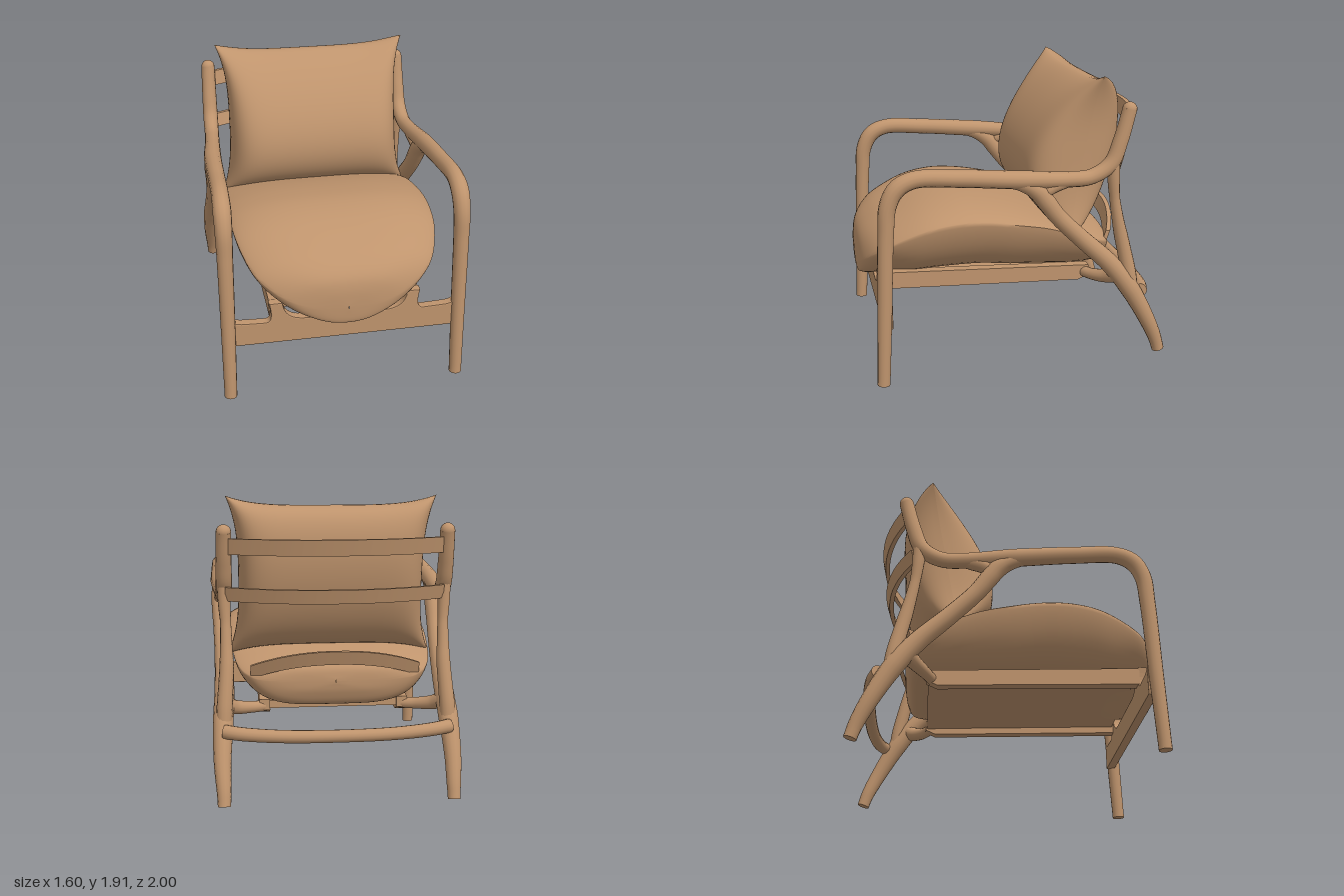
import * as THREE from 'three';
import { mergeVertices, toCreasedNormals } from 'three/addons/utils/BufferGeometryUtils.js';
import { ParametricGeometry } from 'three/addons/geometries/ParametricGeometry.js';

const tan = new THREE.MeshStandardMaterial({ color: 0xbf946d });
tan.name = 'tan';

function part(name, geometry, parent) {
  const mesh = new THREE.Mesh(geometry, tan);
  mesh.name = name;
  parent.add(mesh);
  return mesh;
}

// Weld a generated surface, then smooth it while keeping sharp seams
function smooth(geometry, crease = 0.8) {
  geometry.deleteAttribute('uv');
  geometry.deleteAttribute('normal');
  return toCreasedNormals(mergeVertices(geometry, 1e-5), crease);
}

// Round limb through [x, y, z, radius] points, with flat ends
function limb(points, side = 1, rings = 60) {
  const path = new THREE.CatmullRomCurve3(points.map(p => new THREE.Vector3(p[0] * side, p[1], p[2])), false, 'centripetal');
  const geo = new THREE.TubeGeometry(path, rings, 1, 14);
  const pos = geo.attributes.position;
  const p = new THREE.Vector3();
  for (let i = 0; i <= rings; i++) {
    const t = path.getUtoTmapping(i / rings) * (points.length - 1);
    const k = Math.min(Math.floor(t), points.length - 2);
    let radius = THREE.MathUtils.lerp(points[k][3], points[k + 1][3], t - k);
    const centre = path.getPointAt(i / rings);
    let target = centre;
    if (i === 0 || i === rings) radius = 0;
    if (i === 1) target = path.getPointAt(0);
    if (i === rings - 1) target = path.getPointAt(1);
    for (let j = 0; j <= 14; j++) {
      const n = i * 15 + j;
      p.fromBufferAttribute(pos, n).sub(centre).multiplyScalar(radius).add(target);
      pos.setXYZ(n, p.x, p.y, p.z);
    }
  }
  return smooth(geo);
}

// Board bowed backwards from its ends to its middle
function bowedBoard(half, height, thick, yEnd, yMid, zEnd, zMid, tilt) {
  const geo = new THREE.BoxGeometry(half * 2, height, thick, 28, 2, 1);
  const pos = geo.attributes.position;
  for (let i = 0; i < pos.count; i++) {
    const x = pos.getX(i), y = pos.getY(i);
    const bow = 1 - Math.pow(Math.abs(x / half), 2.2);
    pos.setY(i, y + yEnd + (yMid - yEnd) * bow);
    pos.setZ(i, pos.getZ(i) + zEnd + (zMid - zEnd) * bow - y * tilt);
  }
  return smooth(geo, 0.6);
}

// Seat cushion: sections along z as [z, half width, top, seam, bottom]
function seatCushion() {
  const sections = [
    [-0.68, 0.001, 0.75, 0.74, 0.73], [-0.665, 0.42, 0.82, 0.75, 0.66],
    [-0.62, 0.56, 0.86, 0.78, 0.58], [-0.52, 0.62, 0.895, 0.82, 0.56],
    [-0.4, 0.645, 0.93, 0.86, 0.56], [-0.2, 0.665, 0.99, 0.93, 0.57],
    [0, 0.675, 1.05, 0.97, 0.58], [0.2, 0.675, 1.09, 1.0, 0.6],
    [0.4, 0.67, 1.105, 1.0, 0.6], [0.6, 0.65, 1.07, 0.96, 0.59],
    [0.8, 0.59, 0.985, 0.87, 0.56], [0.9, 0.51, 0.92, 0.8, 0.535],
    [0.965, 0.38, 0.85, 0.72, 0.53], [0.992, 0.22, 0.77, 0.66, 0.54],
    [1.0, 0.001, 0.66, 0.65, 0.64]];
  const outline = new THREE.CatmullRomCurve3(sections.map(s => new THREE.Vector3(s[1], s[3], s[0])), false, 'catmullrom');
  const depth = new THREE.CatmullRomCurve3(sections.map(s => new THREE.Vector3(s[2], s[4], 0)), false, 'catmullrom');
  return smooth(new ParametricGeometry((u, v, out) => {
    const o = outline.getPoint(v), d = depth.getPoint(v);
    const c = Math.cos(u * Math.PI * 2), up = Math.sin(u * Math.PI * 2) > 0;
    // the underside is boxy over the frame and rounder at the nose
    const power = up ? 3.2 : 4.2 - 1.9 * THREE.MathUtils.smoothstep(o.z, 0.6, 0.9);
    const lift = Math.pow(Math.max(0, 1 - Math.pow(Math.abs(c), power)), 0.75);
    out.set(o.x * c, o.y + ((up ? d.x : d.y) - o.y) * lift, o.z);
  }, 64, 70), 0.9);
}

// One face of the back pillow; facing is 1 for the front and -1 for the back
function pillowFace(facing) {
  return smooth(new ParametricGeometry((a, b, out) => {
    const u = Math.sin((a - 0.5) * Math.PI) * facing;
    const v = Math.sin((b - 0.5) * Math.PI);
    const across = Math.pow(Math.max(0, 1 - Math.pow(Math.abs(u), 8)), 0.47);
    const along = Math.pow(Math.max(0, 1 - v * v), facing > 0 ? 0.65 : 0.4);
    const bulge = facing > 0 ? 0.305 * (1 - 0.2 * v) : -0.26;
    out.set(
      0.015 + u * (0.592 + 0.075 * Math.pow(Math.abs(v), 3)),
      1.385 + v * (0.46 + 0.06 * Math.pow(Math.abs(u), 4)),
      -0.435 - 0.095 * v + bulge * across * along);
  }, 40, 40), 1.2);
}

// Front rail with two raised tabs carrying the seat frame
function frontRail() {
  const s = new THREE.Shape();
  s.moveTo(-0.73, 0.375);
  s.lineTo(0.73, 0.375);
  s.lineTo(0.73, 0.54);
  s.quadraticCurveTo(0.69, 0.52, 0.64, 0.52);
  s.lineTo(0.51, 0.515);
  s.quadraticCurveTo(0.45, 0.52, 0.48, 0.65);
  s.lineTo(0.41, 0.65);
  s.quadraticCurveTo(0.4, 0.53, 0.26, 0.525);
  s.lineTo(-0.26, 0.525);
  s.quadraticCurveTo(-0.4, 0.53, -0.41, 0.65);
  s.lineTo(-0.48, 0.65);
  s.quadraticCurveTo(-0.45, 0.52, -0.51, 0.515);
  s.lineTo(-0.64, 0.52);
  s.quadraticCurveTo(-0.69, 0.52, -0.73, 0.54);
  const geo = new THREE.ExtrudeGeometry(s, { depth: 0.045, bevelSize: 0.008, bevelThickness: 0.008, bevelSegments: 2, curveSegments: 8 });
  return geo.translate(0, 0, 0.838);
}

// Sloping side rail of the seat frame, drawn in profile
function seatRail() {
  const s = new THREE.Shape();
  s.moveTo(-0.84, 0.54);
  s.lineTo(0.46, 0.49);
  s.lineTo(0.53, 0.52);
  s.lineTo(0.53, 0.59);
  s.lineTo(-0.84, 0.65);
  return new THREE.ExtrudeGeometry(s, { depth: 0.07, bevelEnabled: false }).rotateY(Math.PI / 2);
}

export function createModel() {
  const chair = new THREE.Group();
  chair.name = 'armchair';

  for (const side of [1, -1]) {
    const frame = new THREE.Group();
    frame.name = side > 0 ? 'leftSideFrame' : 'rightSideFrame';
    chair.add(frame);

    // Front leg, arm and back post in one sweep
    part('frontLegAndArm', limb([
      [0.755, 0, 0.905, 0.041], [0.75, 0.5, 0.882, 0.046], [0.747, 1, 0.86, 0.05],
      [0.746, 1.18, 0.842, 0.054], [0.745, 1.285, 0.785, 0.057], [0.744, 1.335, 0.68, 0.054],
      [0.742, 1.325, 0.4, 0.055], [0.736, 1.29, 0, 0.059], [0.715, 1.268, -0.3, 0.051],
      [0.705, 1.275, -0.46, 0.05], [0.7, 1.35, -0.585, 0.052], [0.697, 1.5, -0.647, 0.05],
      [0.693, 1.695, -0.7, 0.047]], side, 110), frame);
    const tip = part('postTip', new THREE.SphereGeometry(0.047, 16, 12), frame);
    tip.position.set(0.693 * side, 1.695, -0.7);

    // Rear leg branching down from the arm
    part('rearLeg', limb([
      [0.738, 1.29, 0.12, 0.035], [0.734, 1.265, 0, 0.05], [0.73, 1.215, -0.09, 0.06],
      [0.727, 1.135, -0.155, 0.06], [0.722, 1.03, -0.235, 0.056], [0.712, 0.87, -0.395, 0.058],
      [0.708, 0.68, -0.595, 0.063], [0.718, 0.5, -0.735, 0.065], [0.725, 0.28, -0.86, 0.054],
      [0.718, 0.12, -0.935, 0.045], [0.717, 0.035, -0.962, 0.039]], side, 70), frame);

    // Lower post joining the back post to the rear leg
    part('lowerPost', limb([
      [0.698, 1.38, -0.6, 0.045], [0.698, 1.25, -0.608, 0.04], [0.692, 1.12, -0.622, 0.034],
      [0.69, 0.97, -0.65, 0.039], [0.69, 0.86, -0.675, 0.045], [0.697, 0.74, -0.703, 0.047],
      [0.707, 0.6, -0.732, 0.05], [0.712, 0.5, -0.745, 0.05]], side, 40), frame);

    // Web filling the corner between arm and rear leg
    part('armWeb', limb([
      [0.728, 1.17, -0.13, 0.035], [0.724, 1.215, -0.17, 0.045], [0.715, 1.25, -0.26, 0.045],
      [0.71, 1.265, -0.36, 0.035]], side, 20), frame);

    // Seat frame rail and its bracket to the rear leg
    part('seatRail', seatRail(), frame).position.x = side * 0.45 - 0.035;
    part('legBracket', limb([
      [0.44, 0.54, -0.49, 0.036], [0.54, 0.545, -0.535, 0.038], [0.64, 0.565, -0.6, 0.046],
      [0.71, 0.6, -0.66, 0.06]], side, 24), frame);
  }

  // Rails and seat panel
  part('frontRail', frontRail(), chair);
  part('rearRail', limb([
    [-0.71, 0.47, -0.82, 0.044], [-0.6, 0.462, -0.857, 0.043], [-0.35, 0.45, -0.89, 0.041],
    [0, 0.446, -0.9, 0.04], [0.35, 0.45, -0.89, 0.041], [0.6, 0.462, -0.857, 0.043],
    [0.71, 0.47, -0.82, 0.044]]), chair);
  part('seatCrossbar', new THREE.BoxGeometry(0.9, 0.05, 0.06), chair).position.set(0, 0.555, -0.49);
  const panel = part('seatPanel', new THREE.BoxGeometry(0.84, 0.025, 1.32), chair);
  panel.position.set(0, 0.57, 0.16);
  panel.rotation.x = -0.04;

  // Back slats
  part('upperSlat', bowedBoard(0.69, 0.1, 0.03, 1.607, 1.607, -0.69, -0.85, 0.22), chair);
  part('middleSlat', bowedBoard(0.69, 0.09, 0.03, 1.303, 1.303, -0.63, -0.81, 0.3), chair);
  part('lowerSlat', bowedBoard(0.54, 0.09, 0.03, 0.8, 0.905, -0.625, -0.735, 0.35), chair);

  // Cushions
  part('seatCushion', seatCushion(), chair);
  const pillow = new THREE.Group();
  pillow.name = 'backPillow';
  chair.add(pillow);
  part('pillowFront', pillowFace(1), pillow);
  part('pillowBack', pillowFace(-1), pillow);

  return chair;
}
